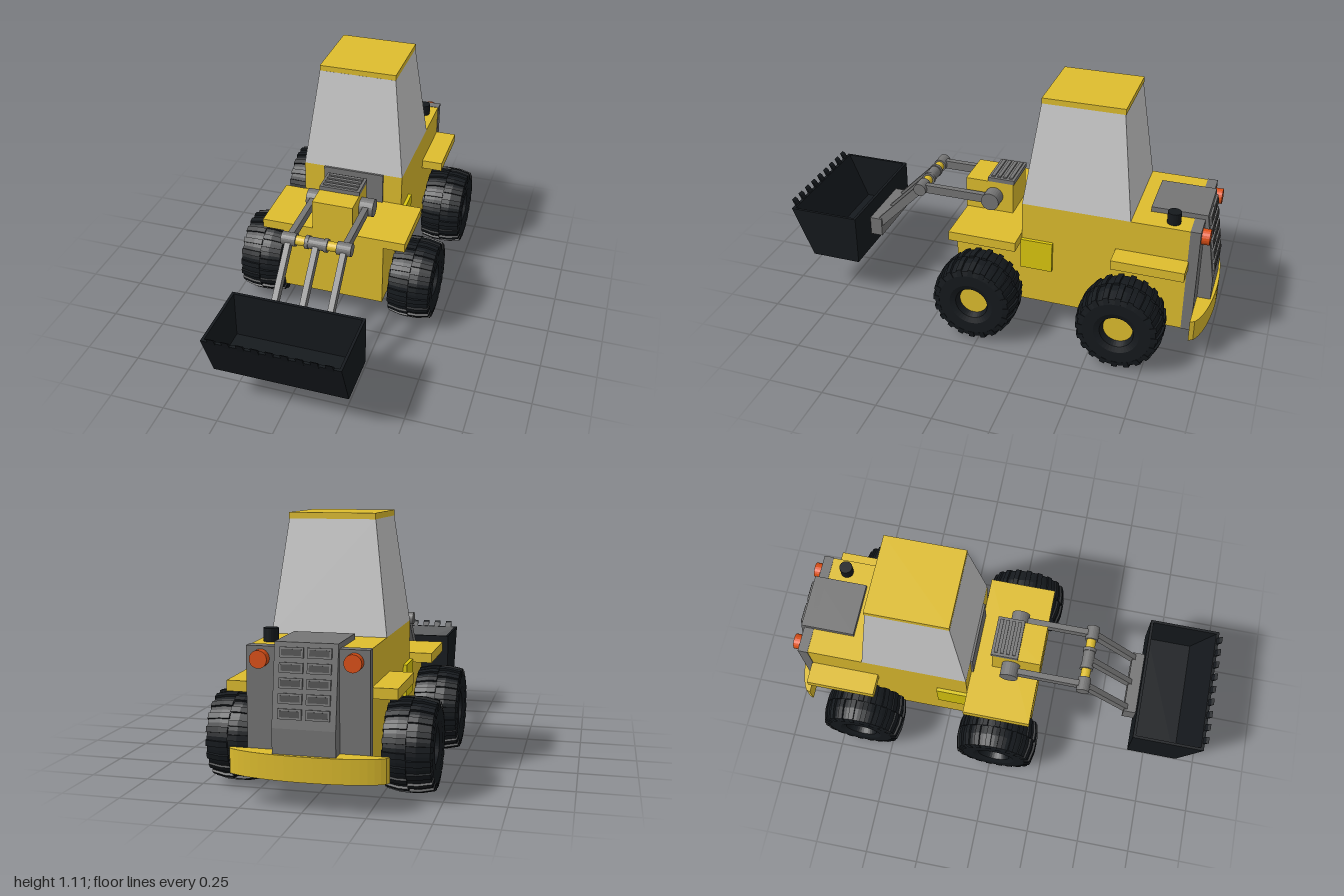
import * as THREE from 'three';

const mat = (color, flatShading = true) => new THREE.MeshStandardMaterial({ color, flatShading });
const YELLOW = mat(0xdebd2e), OLIVE = mat(0xdcc80e), GREY = mat(0x757575), DARK = mat(0x4a4a4a);
const GLASS = mat(0xcccccc), BLACK = mat(0x15191d), ORANGE = mat(0xdd5016);

export function createModel() {
  const model = new THREE.Group();
  const body = new THREE.Group();
  body.name = 'loaderBody';
  body.position.x = -0.006;
  model.add(body);

  const add = (name, geo, material, parent = body) => {
    const m = new THREE.Mesh(geo, material);
    m.name = name;
    parent.add(m);
    return m;
  };
  // Box given by its limits on each axis
  const box = (name, material, [x0, x1], [y0, y1], [z0, z1], parent) => {
    const m = add(name, new THREE.BoxGeometry(x1 - x0, y1 - y0, z1 - z0), material, parent);
    m.position.set((x0 + x1) / 2, (y0 + y1) / 2, (z0 + z1) / 2);
    return m;
  };
  // Side profile of [z, y] points, extruded across x
  const profile = (name, material, pts, width, x = 0, parent = body) => {
    const geo = new THREE.ExtrudeGeometry(new THREE.Shape(pts.map(p => new THREE.Vector2(...p))),
      { depth: width, bevelEnabled: false });
    geo.translate(0, 0, -width / 2).rotateY(-Math.PI / 2);
    const m = add(name, geo, material, parent);
    m.position.x = x;
    return m;
  };
  // Cylinder lying along x
  const pin = (name, material, r, [x0, x1], y, z) => {
    const m = add(name, new THREE.CylinderGeometry(r, r, x1 - x0, 24).rotateZ(Math.PI / 2), material);
    m.position.set((x0 + x1) / 2, y, z);
  };
  // Flat bar between two [z, y] points
  const bar = (name, x, a, b, w, t) => {
    const dz = b[0] - a[0], dy = b[1] - a[1];
    const m = add(name, new THREE.BoxGeometry(w, t, Math.hypot(dz, dy)), GREY);
    m.position.set(x, (a[1] + b[1]) / 2, (a[0] + b[0]) / 2);
    m.rotation.x = -Math.atan2(dy, dz);
  };

  // Chassis, hood and fenders
  box('chassis', YELLOW, [-0.24, 0.24], [0.12, 0.45], [-0.88, 0.17]);
  box('engineBody', YELLOW, [-0.24, 0.24], [0.45, 0.62], [-0.88, -0.14]);
  box('frontFender', YELLOW, [-0.34, 0.34], [0.43, 0.473], [-0.14, 0.172]);
  box('rearFender', YELLOW, [-0.34, 0.34], [0.43, 0.473], [-0.885, -0.567]);
  box('frontBlock', YELLOW, [-0.095, 0.095], [0.47, 0.62], [-0.05, 0.176]);
  box('cabFrontPanel', GREY, [-0.14, 0.15], [0.473, 0.62], [-0.15, -0.13]);
  box('sideStep', OLIVE, [-0.256, 0.256], [0.3, 0.445], [-0.285, -0.14]);

  // Front vent with ribs
  box('frontVent', GREY, [-0.095, 0.095], [0.62, 0.64], [-0.055, 0.07]);
  for (let i = 0; i < 4; i++) {
    const z = -0.035 + i * 0.028;
    box('ventRib', GREY, [-0.082, 0.082], [0.638, 0.647], [z - 0.008, z + 0.008]);
  }

  // Tapered cab and roof
  const cab = new THREE.BoxGeometry(0.48, 0.465, 0.485);
  const p = cab.attributes.position;
  for (let i = 0; i < p.count; i++) {
    if (p.getY(i) > 0) p.setXYZ(i, p.getX(i) * 0.75, p.getY(i), p.getZ(i) * 0.742);
  }
  add('cabWindows', cab, GLASS).position.set(0, 0.8525, -0.3825);
  box('cabRoof', YELLOW, [-0.18, 0.18], [1.085, 1.11], [-0.565, -0.203]);

  // Engine cover, exhaust and sloped grille
  box('engineCover', GREY, [-0.125, 0.125], [0.62, 0.643], [-0.93, -0.69]);
  const exhaust = add('exhaust', new THREE.CylinderGeometry(0.03, 0.03, 0.055, 20), BLACK);
  exhaust.position.set(0.184, 0.645, -0.8);
  profile('grille', GREY, [[-0.88, 0.14], [-0.88, 0.643], [-0.935, 0.643], [-0.984, 0.32], [-0.984, 0.14]], 0.25);
  const slats = new THREE.Group();
  slats.name = 'grilleSlats';
  slats.position.set(0, 0.49, -0.958);
  slats.rotation.x = 0.15;
  body.add(slats);
  for (const s of [-1, 1]) {
    for (let i = 0; i < 5; i++) {
      const y = -0.116 + i * 0.058;
      box('slatFrame', GREY, [s * 0.055 - 0.047, s * 0.055 + 0.047], [y - 0.02, y + 0.02], [-0.009, 0.005], slats);
      box('slatSlot', DARK, [s * 0.055 - 0.039, s * 0.055 + 0.039], [y - 0.012, y + 0.012], [-0.011, 0], slats);
    }
    box('rearPost', GREY, [s * 0.184 - 0.059, s * 0.184 + 0.059], [0.12, 0.622], [-0.925, -0.88]);
    const lamp = add('rearLamp', new THREE.CylinderGeometry(0.035, 0.035, 0.04, 20).rotateX(Math.PI / 2), ORANGE);
    lamp.position.set(s * 0.184, 0.575, -0.94);
  }

  // Curved rear bumper
  const bumper = new THREE.Shape();
  bumper.moveTo(-0.318, 0.925);
  bumper.lineTo(0.318, 0.925);
  bumper.lineTo(0.31, 0.945);
  bumper.bezierCurveTo(0.2, 1.018, -0.2, 1.018, -0.31, 0.945);
  add('rearBumper', new THREE.ExtrudeGeometry(bumper, { depth: 0.1, bevelEnabled: false, curveSegments: 20 })
    .rotateX(-Math.PI / 2), YELLOW).position.y = 0.12;

  // Lift arms and linkage
  const armY = 0.55, kneeZ = 0.385;
  pin('pivotRod', YELLOW, 0.025, [-0.15, 0.15], armY, 0.04);
  pin('kneeRod', YELLOW, 0.022, [-0.15, 0.15], armY, kneeZ);
  pin('kneeCollar', GREY, 0.027, [-0.05, 0.05], armY, kneeZ);
  for (const s of [-1, 1]) {
    pin('armPivot', GREY, 0.042, [s * 0.127 - 0.033, s * 0.127 + 0.033], armY, 0.04);
    pin('armKnee', GREY, 0.03, [s * 0.127 - 0.033, s * 0.127 + 0.033], armY, kneeZ);
    pin('collarFlange', GREY, 0.031, [s * 0.043 - 0.008, s * 0.043 + 0.008], armY, kneeZ);
    bar('upperArm', s * 0.127, [0.04, armY], [kneeZ, armY], 0.027, 0.04);
  }
  for (const x of [-0.127, 0, 0.127]) bar('lowerArm', x, [kneeZ, armY], [0.625, 0.305], 0.026, 0.04);

  // Bucket bracket, widening towards its base
  profile('bucketBracket', GREY, [[0.598, 0.255], [0.66, 0.255], [0.66, 0.345], [0.598, 0.345]], 0.3);

  // Open bucket with teeth along the lip
  const bucket = new THREE.Group();
  bucket.name = 'bucket';
  model.add(bucket);
  profile('bucketShell', BLACK, [[0.655, 0.42], [0.655, 0.185], [0.89, 0.185], [0.986, 0.42],
    [0.972, 0.42], [0.882, 0.198], [0.668, 0.198], [0.668, 0.42]], 0.596, 0, bucket);
  for (const s of [-1, 1]) {
    profile('bucketEnd', BLACK, [[0.655, 0.185], [0.89, 0.185], [0.986, 0.42], [0.655, 0.42]], 0.012, s * 0.292, bucket);
  }
  for (let i = 0; i < 9; i++) {
    profile('bucketTooth', BLACK, [[0.966, 0.4], [0.978, 0.4], [1, 0.448], [0.988, 0.44]],
      0.031, (i - 4) * 0.0625, bucket);
  }

  // Wheels: lathed tyre, staggered tread lugs, recessed hub
  const tyreProfile = [[0.062, -0.05], [0.075, -0.09], [0.1, -0.1], [0.15, -0.1], [0.172, -0.094],
    [0.183, -0.04], [0.183, 0.04], [0.172, 0.094], [0.15, 0.1], [0.1, 0.1], [0.075, 0.09], [0.062, 0.05]];
  const tyreGeo = new THREE.LatheGeometry(tyreProfile.map(q => new THREE.Vector2(...q)), 40).rotateZ(Math.PI / 2);
  const hubGeo = new THREE.CylinderGeometry(0.066, 0.066, 0.12, 32).rotateZ(Math.PI / 2);
  const lugShape = new THREE.Shape([[0, 0.165], [0, 0.193], [0.04, 0.192], [0.096, 0.18], [0.102, 0.15], [0.09, 0.15]]
    .map(q => new THREE.Vector2(...q)));
  const lugGeo = new THREE.ExtrudeGeometry(lugShape, { depth: 0.024, bevelEnabled: false }).translate(0, 0, -0.012);
  const LUGS = 20;
  for (const z of [0.025, -0.635]) {
    const axle = add('axle', new THREE.CylinderGeometry(0.025, 0.025, 0.6, 16).rotateZ(Math.PI / 2), GREY, model);
    axle.position.set(0, 0.194, z);
    for (const s of [-1, 1]) {
      const wheel = new THREE.Group();
      wheel.name = (z > 0 ? 'front' : 'rear') + (s > 0 ? 'LeftWheel' : 'RightWheel');
      wheel.position.set(s * 0.362, 0.194, z);
      model.add(wheel);
      add('tyre', tyreGeo, BLACK, wheel);
      add('hub', hubGeo, YELLOW, wheel);
      for (let i = 0; i < LUGS * 2; i++) {
        const lug = add('treadLug', lugGeo, BLACK, wheel);
        lug.rotation.set((i / LUGS) * Math.PI, i % 2 ? Math.PI : 0, 0);
      }
    }
  }
  return model;
}
